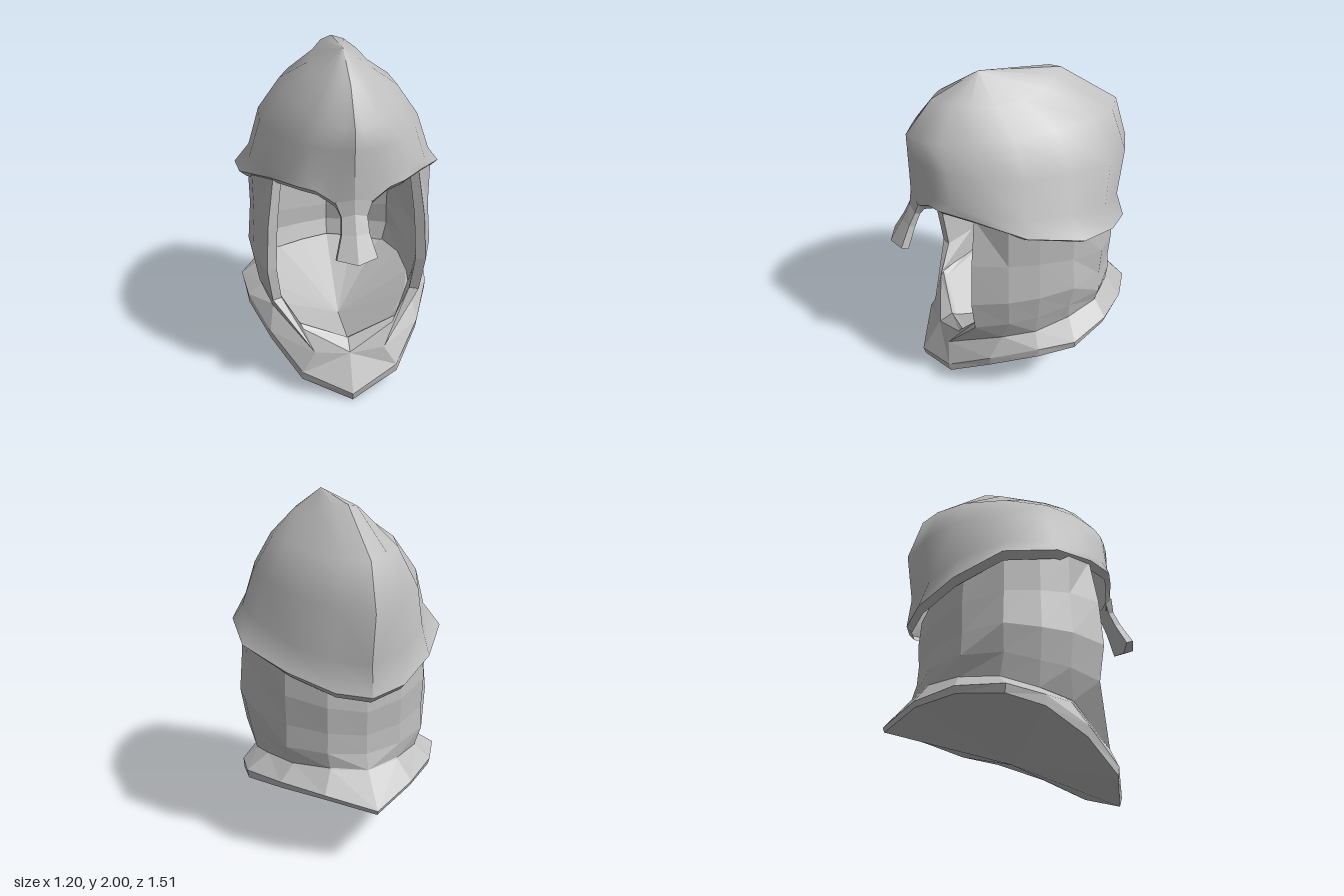
import * as THREE from 'three';

const steel = new THREE.MeshStandardMaterial({ color: 0xbfbfbf, side: THREE.DoubleSide });
steel.name = 'plain steel';

// Skins a grid of points, given for the +x half; sign -1 gives the mirrored half.
// Rows run down the outside, columns run from front to back.
function halfSheet(rows, sign, smooth) {
  const w = rows[0].length, pos = [], index = [];
  rows.forEach(row => row.forEach(([x, y, z]) => pos.push(x * sign, y, z)));
  const same = (i, j) => [0, 1, 2].every(k => pos[i * 3 + k] === pos[j * 3 + k]);
  const tri = (a, b, c) => {
    if (same(a, b) || same(b, c) || same(a, c)) return;
    index.push(...(sign > 0 ? [a, b, c] : [a, c, b]));
  };
  for (let r = 0; r < rows.length - 1; r++) {
    for (let c = 0; c < w - 1; c++) {
      const a = r * w + c, b = a + w;
      tri(a, b, b + 1);
      tri(a, b + 1, a + 1);
    }
  }
  let geo = new THREE.BufferGeometry();
  geo.setAttribute('position', new THREE.Float32BufferAttribute(pos, 3));
  geo.setIndex(index);
  if (!smooth) geo = geo.toNonIndexed();
  geo.computeVertexNormals();
  return geo;
}

function part(name, rows, smooth = false) {
  const group = new THREE.Group();
  group.name = name;
  for (const [side, sign] of [['Left', 1], ['Right', -1]]) {
    const mesh = new THREE.Mesh(halfSheet(rows, sign, smooth), steel);
    mesh.name = name + side;
    group.add(mesh);
  }
  return group;
}

// Lower edge of the dome, from the nose round to the nape
const rim = [
  [0, 1.25, 0.612], [0.07, 1.25, 0.595], [0.12, 1.285, 0.575], [0.2, 1.335, 0.55],
  [0.29, 1.35, 0.51], [0.42, 1.34, 0.35], [0.58, 1.285, 0.1], [0.6, 1.22, -0.22],
  [0.42, 1.12, -0.46], [0.2, 1.03, -0.62], [0, 0.99, -0.66],
];
const angles = [0, 8, 16, 27, 38, 58, 80, 105, 132, 157, 180];

// Half ring of the dome through a front, a side and a back point, with a ridge at the centre
function ring(yFront, zFront, xSide, ySide, yBack, zBack) {
  const mid = (zFront + zBack) / 2, half = (zFront - zBack) / 2;
  return angles.map(deg => {
    const a = THREE.MathUtils.degToRad(deg), c = Math.cos(a);
    const s = deg === 180 ? 0 : Math.sin(a);
    const y = ySide + ((c > 0 ? yFront : yBack) - ySide) * c * c;
    return [xSide * s, y, mid + half * c * (1 - 0.045 * Math.min(1, s * 5))];
  });
}

function dome() {
  return part('dome', [
    angles.map(() => [0, 2, 0.2]),
    ring(1.87, 0.46, 0.17, 1.875, 1.96, -0.26),
    ring(1.68, 0.61, 0.33, 1.755, 1.72, -0.6),
    ring(1.56, 0.61, 0.46, 1.57, 1.46, -0.68),
    ring(1.42, 0.61, 0.53, 1.36, 1.17, -0.64),
    rim,
  ], true);
}

function rimLip() {
  const under = rim.map(([x, y, z]) => [x * 0.93, y - 0.035, z * 0.95]);
  return part('rimLip', [rim, under]);
}

function noseGuard() {
  return part('noseGuard', [
    [[0, 1.3, 0.614], [0.1, 1.28, 0.59], [0.1, 1.25, 0.55], [0, 1.25, 0.56]],
    [[0, 1.22, 0.625], [0.07, 1.2, 0.61], [0.07, 1.19, 0.58], [0, 1.19, 0.59]],
    [[0, 1.12, 0.675], [0.075, 1.12, 0.65], [0.075, 1.11, 0.615], [0, 1.11, 0.625]],
    [[0, 0.985, 0.755], [0.11, 1, 0.71], [0.11, 0.985, 0.67], [0, 0.962, 0.69]],
    [0, 1, 2, 3].map(() => [0, 0.97, 0.72]),
  ]);
}

// Point of the cheek where it runs out onto the collar
const cheekPoint = [0.205, 0.27, 0.49];

// Neck wall with a turned edge at the cheek and a plainer inner face, reaching up into the dome
function neckGuard() {
  const plan = [[0.46, 0.39], [0.53, 0.19], [0.545, 0.01], [0.53, -0.2], [0.42, -0.41], [0.22, -0.55], [0, -0.59]];
  const lining = [[0.405, 0.365], [0.47, 0.18], [0.49, 0.01], [0.47, -0.19], [0.39, -0.37], [0.195, -0.465], [0, -0.55]];
  const top = [1.33, 1.31, 1.28, 1.23, 1.14, 1.07, 1.02];
  const foot = [0.42, 0.47, 0.5, 0.55, 0.56, 0.56, 0.55];
  const wrap = (out, ins) => [...[...ins].reverse(), ...out];
  const crown = (pts, y) => pts.map(([x, z], i) => {
    const k = i > 0 ? 0.97 : 0.88;
    return [x * k, y[i], z * k];
  });
  const rows = [wrap(crown(plan, top.map(y => y + 0.01)), crown(lining, top.map(() => 1.34)))];
  // height fraction, side scale, back scale
  for (const [f, side, back] of [[0.7, 0.965, 0.99], [0.4, 1, 0.975], [0.17, 0.94, 0.985]]) {
    const level = pts => pts.map(([x, z], i) => {
      const s = i > 3 ? back : side;
      return [x * s, foot[i] + (top[i] - foot[i]) * f, z * s];
    });
    rows.push(wrap(level(plan), level(lining)));
  }
  const outerFoot = [cheekPoint, [0.43, 0.45, 0.21], [0.48, 0.49, 0.01], [0.465, 0.54, -0.2],
    [0.375, 0.55, -0.4], [0.2, 0.55, -0.54], [0, 0.54, -0.605]];
  const innerFoot = lining.map(([x, z], i) => [x * 0.9, foot[i] - 0.02, z * 0.92]);
  innerFoot[0] = [0.28, 0.435, 0.42];
  rows.push(wrap(outerFoot, innerFoot));
  return part('neckGuard', rows);
}

// Flared collar with a bevelled chin, closed below by a shallow fan and inside by a bowl
function collar() {
  const neckLine = [[0, 0.31, 0.42], [0.28, 0.43, 0.41], [0.42, 0.455, 0.2], [0.47, 0.5, 0.01],
    [0.46, 0.55, -0.2], [0.37, 0.56, -0.4], [0.2, 0.56, -0.54], [0, 0.55, -0.6]];
  const bevel = neckLine.map(([x, y, z]) => [x * 1.005, y - 0.005, z * 1.005]);
  bevel[0] = [0, 0.26, 0.5];
  bevel[1] = [0.27, 0.405, 0.43];
  const chin = bevel.map(([x, y, z]) => [x * 1.005, y - 0.005, z * 1.005]);
  chin[1] = cheekPoint;
  const upper = [[0, 0.05, 0.625], [0.28, 0.15, 0.51], [0.45, 0.31, 0.29], [0.565, 0.42, 0.02],
    [0.595, 0.45, -0.2], [0.46, 0.465, -0.44], [0.26, 0.435, -0.62], [0, 0.36, -0.755]];
  const lower = [[0, 0, 0.61], [0.285, 0.1, 0.5], [0.445, 0.25, 0.28], [0.56, 0.36, 0.02],
    [0.585, 0.4, -0.2], [0.455, 0.425, -0.43], [0.255, 0.405, -0.61], [0, 0.335, -0.745]];
  const bowl = neckLine.map(([x, y, z], i) => [x * 0.93, y - (i < 2 ? 0.02 : 0.01), z * 0.93]);
  return part('collar', [
    bowl.map(() => [0, 0.23, 0.02]), bowl, neckLine, bevel, chin, upper, lower,
    lower.map(() => [0, 0.2, -0.02]),
  ]);
}

export function createModel() {
  const helmet = new THREE.Group();
  helmet.name = 'helmet';
  helmet.add(dome(), rimLip(), noseGuard(), neckGuard(), collar());
  return helmet;
}
